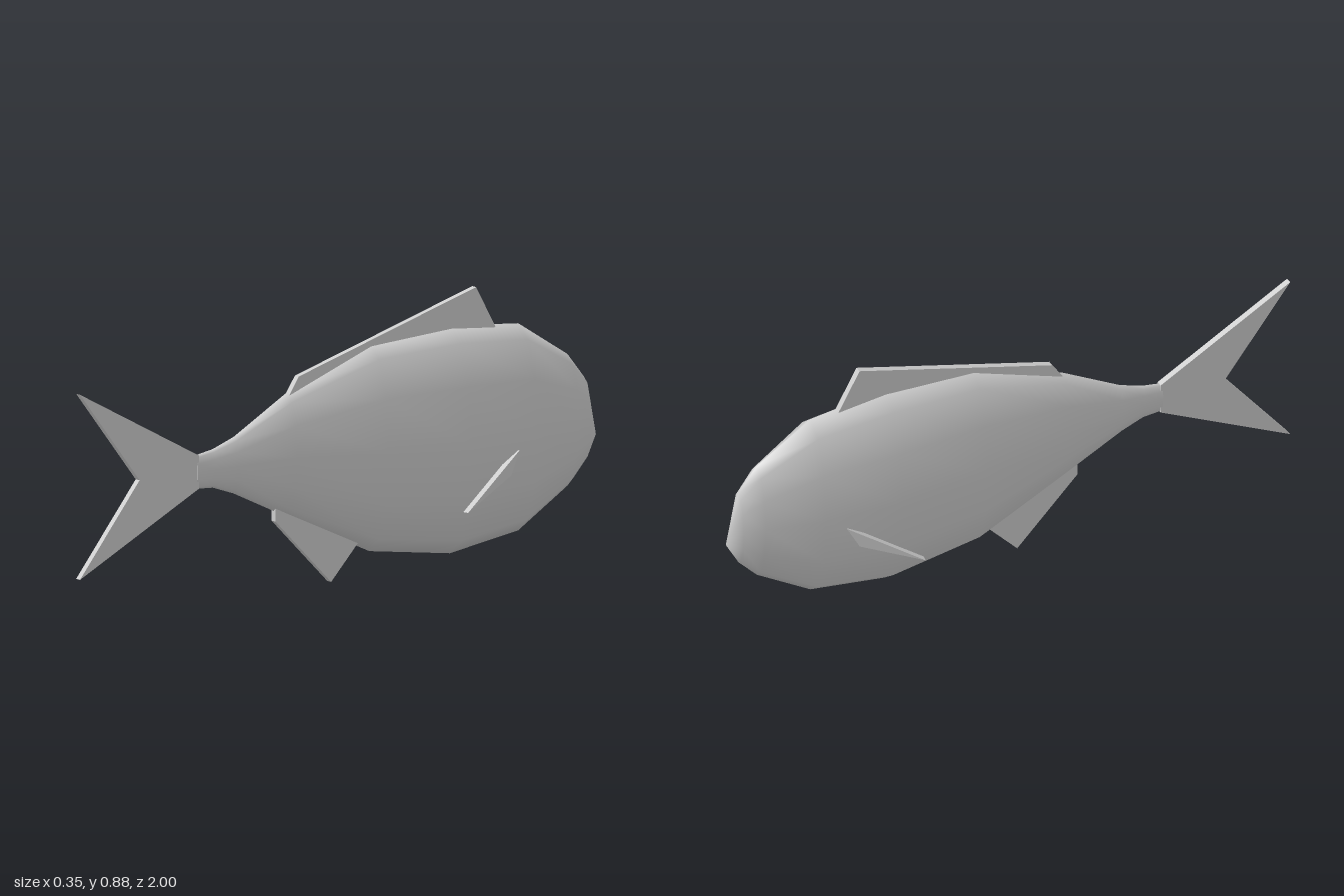
import * as THREE from 'three';

const SIDES = 12;

// Body cross-sections from nose to tail: [z, bottom y, top y, half width]
const SECTIONS = [
  [-1, 0.36, 0.36, 0],
  [-0.955, 0.278, 0.547, 0.036],
  [-0.89, 0.207, 0.627, 0.06],
  [-0.7, 0.085, 0.745, 0.105],
  [-0.436, 0.04, 0.766, 0.12],
  [-0.125, 0.08, 0.743, 0.105],
  [0.197, 0.225, 0.618, 0.06],
  [0.4, 0.32, 0.5, 0.028],
  [0.48, 0.347, 0.47, 0.018],
  [0.548, 0.35, 0.457, 0.013],
  [0.548, 0.35, 0.457, 0.013], // repeated so the tail cap keeps a sharp edge
  [0.548, 0.403, 0.403, 0],
];

// Smooth skin lofted through elliptical sections
function bodyGeometry() {
  const positions = [];
  const indices = [];
  for (const [z, bottom, top, halfWidth] of SECTIONS) {
    for (let j = 0; j < SIDES; j++) {
      const a = (j / SIDES) * Math.PI * 2;
      positions.push(halfWidth * Math.sin(a), (top + bottom) / 2 + ((top - bottom) / 2) * Math.cos(a), z);
    }
  }
  // All corners of the nose ring share one vertex
  const id = (i, j) => (i === 0 ? 0 : i * SIDES + (j % SIDES));
  for (let i = 0; i < SECTIONS.length - 1; i++) {
    for (let j = 0; j < SIDES; j++) {
      const a = id(i, j), b = id(i, j + 1), c = id(i + 1, j), d = id(i + 1, j + 1);
      if (i > 0) indices.push(a, c, b);
      if (i < SECTIONS.length - 2) indices.push(b, c, d);
    }
  }
  const geometry = new THREE.BufferGeometry();
  geometry.setAttribute('position', new THREE.Float32BufferAttribute(positions, 3));
  geometry.setIndex(indices);
  geometry.computeVertexNormals();
  return geometry;
}

// Flat plate from [z, y] corners, centred on x = 0
function finGeometry(points, thickness = 0.021) {
  const shape = new THREE.Shape(points.map(([z, y]) => new THREE.Vector2(z, y)));
  const geometry = new THREE.ExtrudeGeometry(shape, { depth: thickness, bevelEnabled: false });
  geometry.translate(0, 0, -thickness / 2);
  geometry.rotateY(-Math.PI / 2);
  return geometry;
}

export function createModel() {
  const fish = new THREE.Group();
  fish.name = 'fish';
  const grey = new THREE.MeshStandardMaterial({ color: 0xcccccc });
  grey.name = 'grey';

  const add = (name, geometry) => {
    const mesh = new THREE.Mesh(geometry, grey);
    mesh.name = name;
    fish.add(mesh);
    return mesh;
  };

  add('body', bodyGeometry());

  // Fins in the middle plane
  add('tailFin', finGeometry([[0.54, 0.457], [1, 0.7], [0.77, 0.403], [1, 0.11], [0.54, 0.352]]));
  add('dorsalFin', finGeometry([[0.2, 0.6], [0.155, 0.668], [-0.53, 0.88], [-0.605, 0.745]]));
  add('analFin', finGeometry([[0.245, 0.26], [0.245, 0.215], [0.03, 0], [-0.08, 0.12]]));

  // Paired side fins, swept outward toward the tail
  const sideFin = finGeometry([[0, 0.365], [0.041, 0.29], [0.253, 0.2]], 0.02);
  for (const side of [1, -1]) {
    const fin = add(side > 0 ? 'leftSideFin' : 'rightSideFin', sideFin);
    fin.position.set(side * 0.1, 0, -0.625);
    fin.rotation.y = side * 0.252;
  }

  return fish;
}
